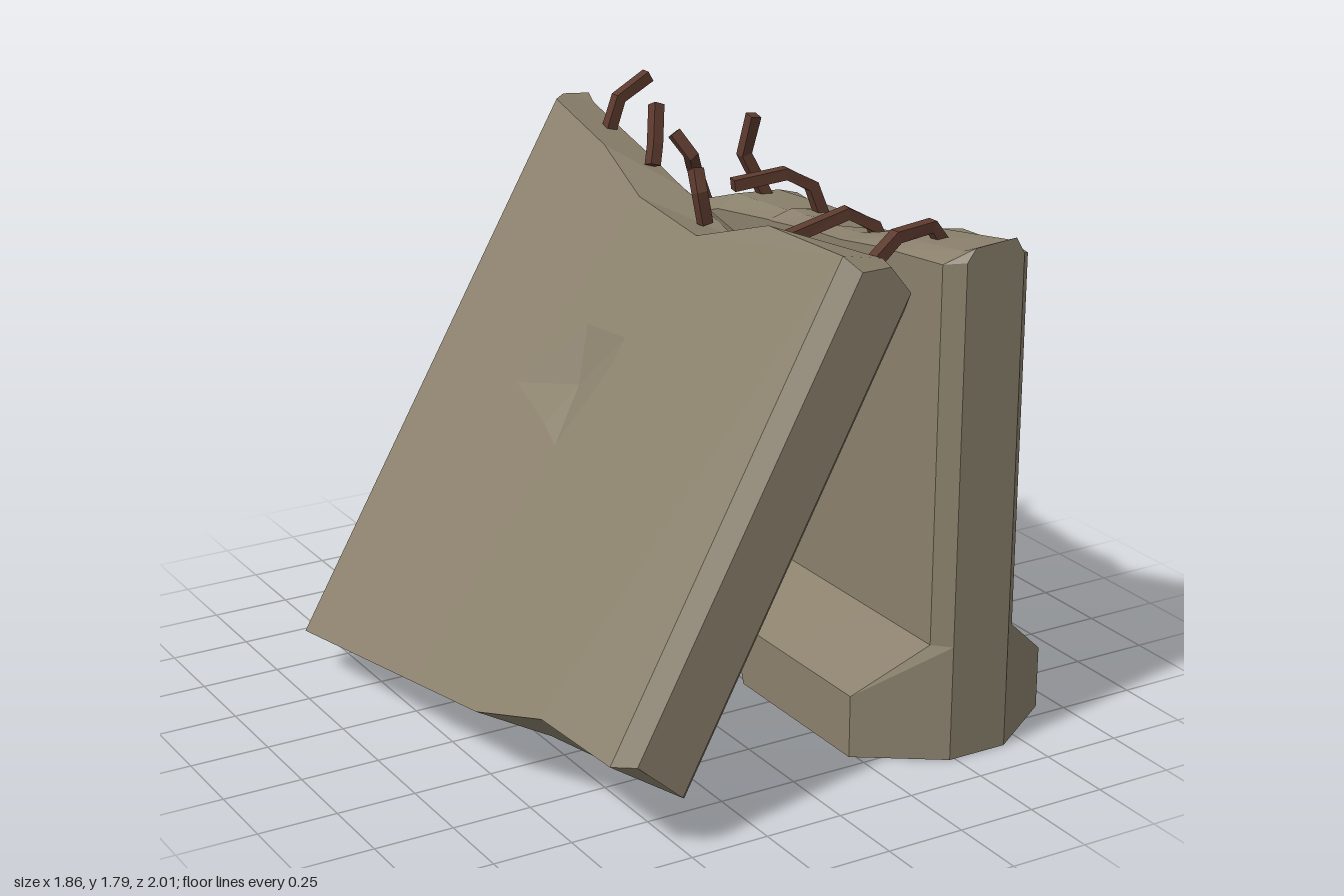
import * as THREE from 'three';

const V = (x, y, z) => new THREE.Vector3(x, y, z);

// Collects triangles for one faceted body
class Facets {
  constructor() { this.p = []; }
  tri(a, b, c) { for (const v of [a, b, c]) this.p.push(v.x, v.y, v.z); }
  // triangle turned to face along "out"
  facing(a, b, c, out) {
    const n = b.clone().sub(a).cross(c.clone().sub(a));
    if (n.dot(out) < 0) this.tri(a, c, b); else this.tri(a, b, c);
  }
  // skin between successive rings, with both ends closed
  loft(rings, skip = -1) {
    const n = rings[0].length, last = rings.length - 1;
    for (let i = 0; i < last; i++) for (let j = 0; j < n; j++) {
      if (j === skip && i > 0 && i < last - 1) continue;
      const k = (j + 1) % n;
      const a = rings[i][j], b = rings[i][k], c = rings[i + 1][k], d = rings[i + 1][j];
      this.tri(a, c, b);
      this.tri(a, d, c);
    }
    for (const end of [0, last]) {
      const r = rings[end], m = V(0, 0, 0);
      r.forEach(p => m.addScaledVector(p, 1 / n));
      for (let j = 0; j < n; j++) {
        const a = r[j], b = r[(j + 1) % n];
        if (end) this.tri(m, b, a); else this.tri(m, a, b);
      }
    }
  }
  // flat face with an optional hole
  panel(contour, hole, map, out) {
    const v2 = l => l.map(q => new THREE.Vector2(q[0], q[1]));
    const all = [...contour, ...hole].map(q => map(q[0], q[1], 0));
    const faces = THREE.ShapeUtils.triangulateShape(v2(contour), hole.length ? [v2(hole)] : []);
    for (const [a, b, c] of faces) this.facing(all[a], all[b], all[c], out);
  }
  // shallow faceted chip sinking from a loop to a centre
  crater(loop, centre, depth, map, out) {
    const m = map(centre[0], centre[1], depth);
    loop.forEach((q, i) => {
      const r = loop[(i + 1) % loop.length];
      this.facing(map(q[0], q[1], 0), map(r[0], r[1], 0), m, out);
    });
  }
  mesh(name, material) {
    const g = new THREE.BufferGeometry();
    g.setAttribute('position', new THREE.Float32BufferAttribute(this.p, 3));
    g.computeVertexNormals();
    const mesh = new THREE.Mesh(g, material);
    mesh.name = name;
    return mesh;
  }
}

// Standing barrier: wide foot, sloped shoulder, thin wall with broken top
function uprightBarrier(material) {
  const cx = 0.58, f = new Facets();
  // z, underside, right edge, right ridge, left ridge, left edge
  const rows = [
    [0.87, 0.01, 1.57, 1.62, 1.61, 1.57],
    [0.82, 0.01, 1.55, 1.60, 1.59, 1.56],
    [0.5, 0.01, 1.54, 1.55, 1.55, 1.53],
    [0.3, 0.01, 1.36, 1.49, 1.51, 1.5],
    [0.17, 0.01, 1.41, 1.43, 1.5, 1.49],
    [0.1, 0.01, 1.40, 1.47, 1.5, 1.48],
    [0.08, 0.07, 1.38, 1.48, 1.5, 1.48],
    [0, 0.105, 1.385, 1.48, 1.49, 1.47],
    [-0.08, 0.07, 1.39, 1.47, 1.49, 1.46],
    [-0.1, 0.01, 1.40, 1.47, 1.48, 1.46],
    [-0.4, 0.01, 1.43, 1.45, 1.46, 1.42],
    [-0.82, 0.01, 1.27, 1.31, 1.32, 1.28],
    [-0.87, 0.01, 1.26, 1.28, 1.28, 1.26],
  ];
  const rings = rows.map(([z, y0, r, rr, rl, l], i) => {
    const end = i === 0 || i === rows.length - 1;
    const foot = end ? 0.1 : 0.35, wall = end ? 0.1 : 0.15, ridge = end ? 0.07 : 0.08;
    const zf = end ? z : THREE.MathUtils.clamp(z, -0.7, 0.7);
    return [
      V(cx + foot, y0, zf), V(cx + foot, 0.21, zf), V(cx + wall, 0.38, z), V(cx + wall, r, z),
      V(cx + ridge, rr, z), V(cx - ridge, rl, z),
      V(cx - wall, l, z), V(cx - wall, 0.38, z), V(cx - foot, 0.21, zf), V(cx - foot, y0, zf),
    ];
  });
  f.loft(rings, 2);
  // outer wall face with the chip below its broken edge
  const chip = [[0.17, 1.41], [0.06, 1.3], [-0.07, 1.08], [0.18, 0.88], [0.38, 1.07], [0.46, 1.2], [0.38, 1.29], [0.3, 1.36]];
  const edge = rows.slice(1, -1).map(r => [r[0], r[2]]).reverse();
  const contour = [[0.82, 0.38], [-0.82, 0.38],
    ...edge.filter(q => q[0] < 0.17), ...chip, ...edge.filter(q => q[0] > 0.3)];
  const map = (z, y, d) => V(cx + 0.15 - d, y, z);
  f.panel(contour, [], map, V(1, 0, 0));
  f.crater(chip, [0.2, 1.17], 0.07, map, V(1, 0, 0));
  return f.mesh('uprightBarrier', material);
}

// Fallen slab leaning against the wall, in its own slanted frame
function leaningSlab(material) {
  const f = new Facets(), origin = V(-0.93, 0.16, -0.67);
  const up = V(0.57, 0.8, -0.155).normalize();
  const across = V(0.12, 0.087, 0.99).normalize();
  const out = across.clone().cross(up).normalize();
  const map = (t, s, d) => origin.clone().addScaledVector(across, t).addScaledVector(up, s).addScaledVector(out, -d);
  // across, low edge, top edge outside, top middle, top edge inside
  const rows = [
    [-0.05, 0.02, 1.94, 1.99, 1.93],
    [0, 0, 1.90, 1.96, 1.84],
    [0.35, 0, 1.78, 1.84, 1.76],
    [0.63, 0, 1.64, 1.74, 1.64],
    [0.97, 0, 1.56, 1.62, 1.62],
    [1.26, 0.06, 1.64, 1.61, 1.6],
    [1.62, 0.02, 1.60, 1.66, 1.57],
    [1.67, 0.05, 1.58, 1.64, 1.61],
  ];
  f.loft(rows.map(([t, s0, a, m, b], i) => {
    const c = i === 0 || i === rows.length - 1 ? 0.05 : 0;
    return [map(t, s0, c), map(t, a, c), map(t, m, 0.14), map(t, b, 0.3 - c), map(t, 0.03, 0.3 - c)];
  }), 0);
  // upper face with a shallow chip
  const chip = [[0.465, 0.97], [0.665, 1.21], [0.866, 1.2], [0.86, 1.1], [0.775, 0.82], [0.68, 0.875]];
  const inner = rows.slice(1, -1);
  const contour = [...inner.map(r => [r[0], r[1]]), ...inner.map(r => [r[0], r[2]]).reverse()];
  f.panel(contour, chip, map, out);
  f.crater(chip, [0.69, 1.03], 0.05, map, out);
  return f.mesh('leaningSlab', material);
}

// Bent square bar through a few points
function reinforcingBar(points, material) {
  const f = new Facets(), p = points.map(q => V(...q)), radius = 0.026;
  f.loft(p.map((q, i) => {
    const d = p[Math.min(i + 1, p.length - 1)].clone().sub(p[Math.max(i - 1, 0)]).normalize();
    const a = d.clone().cross(V(0, 0, 1)).normalize(), b = a.clone().cross(d);
    return [0, 1, 2, 3].map(k => {
      const w = (k + 0.5) * Math.PI / 2;
      return q.clone().addScaledVector(a, Math.cos(w) * radius).addScaledVector(b, Math.sin(w) * radius);
    });
  }));
  return f.mesh('reinforcingBar', material);
}

export function createModel() {
  const concrete = new THREE.MeshStandardMaterial({ color: 0x8a806c, flatShading: true });
  concrete.name = 'concrete';
  const rust = new THREE.MeshStandardMaterial({ color: 0x5c3a2e, flatShading: true });
  rust.name = 'rustedSteel';

  const model = new THREE.Group();
  model.name = 'brokenBarrier';
  model.add(uprightBarrier(concrete), leaningSlab(concrete));

  const bars = new THREE.Group();
  bars.name = 'reinforcingBars';
  const paths = [
    [[0.23, 1.58, -0.77], [0.28, 1.72, -0.77], [0.39, 1.78, -0.77]],
    [[0.6, 1.3, -0.73], [0.54, 1.46, -0.73], [0.48, 1.53, -0.65], [0.44, 1.6, -0.69]],
    [[0.22, 1.58, -0.45], [0.24, 1.64, -0.47], [0.28, 1.75, -0.53]],
    [[0.6, 1.43, -0.37], [0.52, 1.59, -0.39], [0.535, 1.72, -0.36]],
    [[0.58, 1.46, -0.02], [0.54, 1.57, -0.03], [0.45, 1.62, -0.04], [0.28, 1.6, -0.07]],
    [[0.58, 1.44, 0.32], [0.54, 1.53, 0.31], [0.45, 1.58, 0.3], [0.27, 1.52, 0.26]],
    [[0.58, 1.54, 0.62], [0.53, 1.61, 0.62], [0.4, 1.6, 0.63], [0.33, 1.54, 0.63]],
    [[0.17, 1.5, -0.05], [0.15, 1.6, -0.05], [0.16, 1.66, -0.09]],
  ];
  for (const path of paths) bars.add(reinforcingBar(path, rust));
  model.add(bars);
  return model;
}
